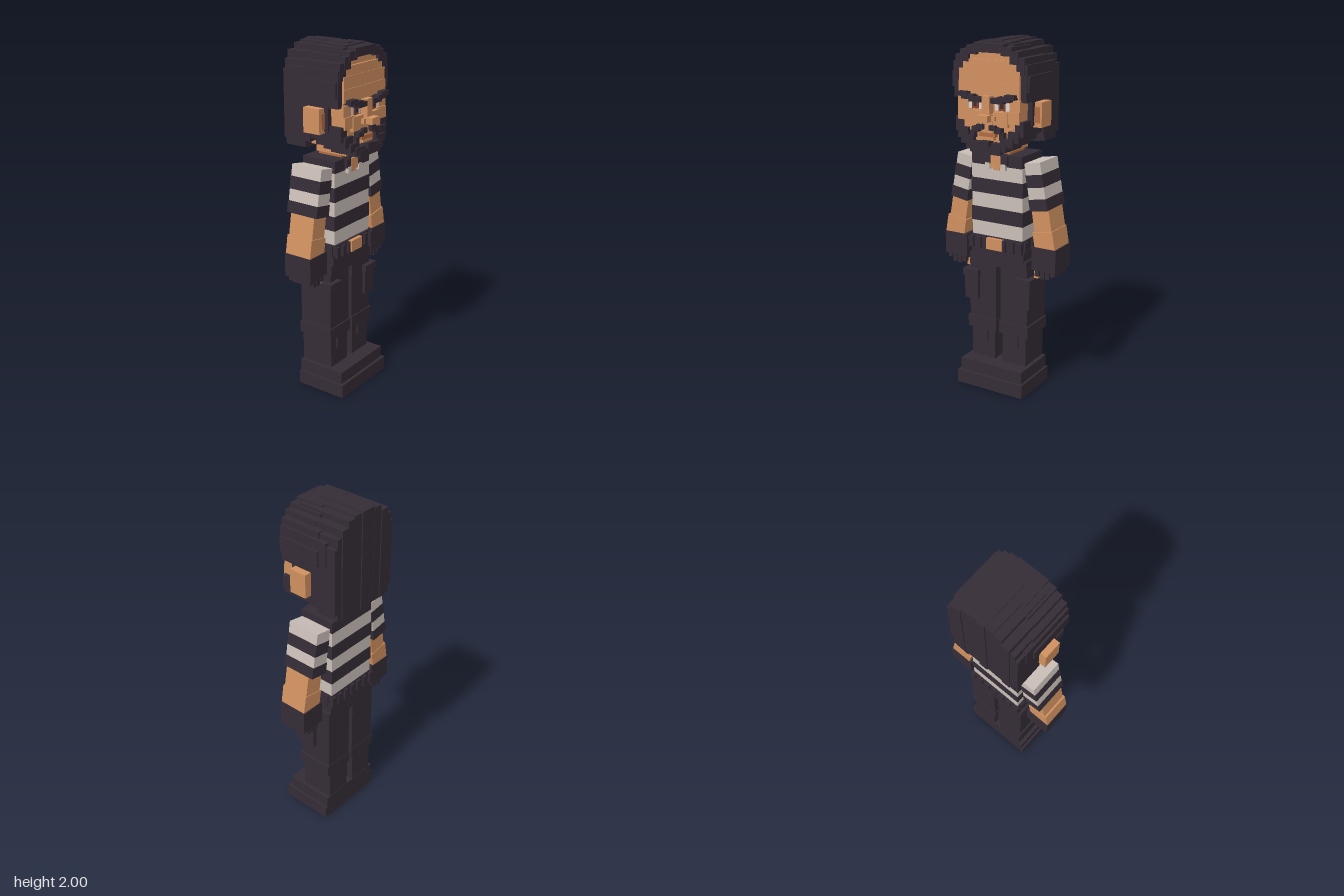
import * as THREE from 'three';

const mat = (name, color) => {
  const m = new THREE.MeshStandardMaterial({ color });
  m.name = name;
  return m;
};

export function createModel() {
  const dark = mat('charcoal', 0x352c36);
  const skin = mat('skin', 0xd0905f);
  const shade = mat('shadedSkin', 0xb06a42);
  const light = mat('stripeGrey', 0xcbbfb8);
  const white = mat('eyeWhite', 0xdcd6d6);
  const iris = mat('iris', 0x8c4028);

  const model = new THREE.Group();
  model.name = 'figure';
  let target = model;
  const group = (name) => {
    target = new THREE.Group();
    target.name = name;
    model.add(target);
    return target;
  };

  // Box from its bounds
  const box = (name, m, x0, x1, y0, y1, z0, z1) => {
    const mesh = new THREE.Mesh(new THREE.BoxGeometry(x1 - x0, y1 - y0, z1 - z0), m);
    mesh.position.set((x0 + x1) / 2, (y0 + y1) / 2, (z0 + z1) / 2);
    mesh.name = name;
    target.add(mesh);
    return mesh;
  };
  // Same box on the left (+x) and the right (-x)
  const pair = (name, m, x0, x1, ...yz) => {
    box(name + 'Left', m, x0, x1, ...yz);
    box(name + 'Right', m, -x1, -x0, ...yz);
  };

  // Shoes, legs and cargo pockets
  group('legs');
  pair('sole', dark, 0, 0.217, 0, 0.08, -0.145, 0.165);
  pair('shoe', dark, 0, 0.203, 0.08, 0.15, -0.145, 0.147);
  pair('shin', dark, 0.025, 0.18, 0.15, 0.33, -0.143, 0.058);
  pair('kneePatch', dark, 0.07, 0.135, 0.26, 0.34, 0.04, 0.07);
  pair('kneeCuff', dark, 0.01, 0.2, 0.33, 0.4, -0.148, 0.07);
  pair('thigh', dark, 0.015, 0.19, 0.4, 0.75, -0.145, 0.062);
  pair('pocket', dark, 0.125, 0.215, 0.51, 0.66, -0.05, 0.08);
  pair('pocketFlap', dark, 0.12, 0.222, 0.65, 0.69, -0.055, 0.09);
  pair('hip', dark, 0, 0.188, 0.73, 0.79, -0.145, 0.068);
  box('waist', dark, -0.172, 0.172, 0.78, 0.85, -0.146, 0.07);

  // Belt with loops and buckle
  group('belt');
  box('beltBand', dark, -0.168, 0.168, 0.845, 0.908, -0.148, 0.085);
  for (let i = 0; i < 7; i++) {
    const x = -0.159 + i * 0.053;
    if (Math.abs(x) > 0.04) box('frontLoop', dark, x - 0.014, x + 0.014, 0.835, 0.9, 0.08, 0.1);
    box('backLoop', dark, x - 0.014, x + 0.014, 0.835, 0.9, -0.16, -0.14);
  }
  for (const z of [-0.11, -0.03, 0.05]) pair('sideLoop', dark, 0.16, 0.178, 0.835, 0.9, z - 0.014, z + 0.014);
  box('buckle', skin, -0.05, 0.05, 0.84, 0.905, 0.08, 0.108);

  // Striped shirt, collar and neck
  group('torso');
  const stripes = [0.905, 0.99, 1.072, 1.155, 1.237, 1.318];
  for (let i = 0; i < 5; i++) {
    const e = i % 2 ? 0.003 : 0;
    box('shirtStripe', i % 2 ? dark : light, -0.163 - e, 0.163 + e, stripes[i], stripes[i + 1], -0.143 - e, 0.072 + e);
  }
  box('collar', dark, -0.16, 0.16, 1.318, 1.385, -0.143, 0.075);
  box('chest', skin, -0.038, 0.038, 1.31, 1.375, 0.06, 0.085);
  box('chestNotch', skin, -0.02, 0.02, 1.295, 1.32, 0.06, 0.08);
  pair('collarFlap', dark, 0.035, 0.075, 1.33, 1.38, 0.06, 0.09);
  pair('collarTab', light, 0.036, 0.064, 1.3, 1.335, 0.06, 0.093);
  box('neck', shade, -0.072, 0.072, 1.37, 1.46, -0.1, 0.05);
  box('throat', skin, -0.095, 0.095, 1.405, 1.46, -0.1, 0.1);

  // Slanted arms with upright gloved hands
  for (const s of [1, -1]) {
    const arm = group(s > 0 ? 'armLeft' : 'armRight');
    arm.position.set(0.215 * s, 1.357, 0);
    arm.rotation.z = 0.168 * s;
    box('sleeveTop', light, -0.049, 0.049, -0.065, 0, -0.135, 0.062);
    box('sleeveStripe', dark, -0.051, 0.051, -0.135, -0.065, -0.137, 0.064);
    box('sleeveLower', light, -0.051, 0.051, -0.2, -0.135, -0.135, 0.062);
    box('sleeveCuff', dark, -0.055, 0.055, -0.265, -0.2, -0.137, 0.064);
    box('forearm', skin, -0.053, 0.053, -0.39, -0.26, -0.11, 0.048);
    box('wrist', skin, -0.064, 0.06, -0.49, -0.385, -0.113, 0.054);
    group(s > 0 ? 'handLeft' : 'handRight');
    const hand = (name, m, a, b, ...yz) => box(name, m, Math.min(a * s, b * s), Math.max(a * s, b * s), ...yz);
    hand('glove', dark, 0.215, 0.363, 0.752, 0.885, -0.118, 0.057);
    for (let i = 0; i < 4; i++) {
      const x = 0.229 + i * 0.032, drop = [0.712, 0.7, 0.702, 0.725][i];
      hand('finger', dark, x, x + 0.027, drop, 0.76, -0.1, 0.045);
    }
    hand('thumbTip', skin, 0.21, 0.236, 0.69, 0.73, -0.06, 0.022);
  }

  // Head core and face rows
  group('face');
  box('skull', skin, -0.185, 0.185, 1.53, 1.88, -0.1, 0.145);
  box('jaw', skin, -0.15, 0.15, 1.46, 1.55, -0.1, 0.147);
  box('foreheadTop', skin, -0.13, 0.13, 1.88, 1.94, 0, 0.135);
  box('foreheadUpper', skin, -0.165, 0.165, 1.83, 1.9, 0, 0.148);
  box('foreheadMiddle', skin, -0.188, 0.188, 1.785, 1.85, 0, 0.151);
  box('foreheadLower', skin, -0.19, 0.19, 1.715, 1.785, 0, 0.155);
  pair('cheek', skin, 0.1, 0.192, 1.575, 1.64, 0.07, 0.162);
  pair('innerCheek', skin, 0.035, 0.125, 1.555, 1.632, 0.1, 0.168);
  pair('temple', skin, 0.13, 0.194, 1.64, 1.7, 0.07, 0.155);
  box('noseBridge', skin, -0.024, 0.024, 1.61, 1.715, 0.13, 0.186);
  box('noseTip', skin, -0.035, 0.035, 1.583, 1.618, 0.14, 0.225);
  pair('nostril', skin, 0.03, 0.055, 1.585, 1.612, 0.14, 0.185);
  box('upperLip', skin, -0.03, 0.03, 1.515, 1.585, 0.14, 0.165);
  box('mouth', shade, -0.05, 0.05, 1.497, 1.518, 0.14, 0.172);
  box('lowerLip', skin, -0.04, 0.04, 1.478, 1.497, 0.14, 0.17);

  // Eyes and slanted brows
  pair('eyeWhite', white, 0.038, 0.128, 1.638, 1.682, 0.146, 0.152);
  pair('iris', iris, 0.062, 0.103, 1.64, 1.682, 0.152, 0.156);
  pair('pupil', dark, 0.074, 0.092, 1.652, 1.674, 0.156, 0.159);
  pair('browInner', dark, 0.03, 0.105, 1.68, 1.707, 0.14, 0.19);
  pair('browMiddle', dark, 0.075, 0.15, 1.692, 1.718, 0.14, 0.191);
  pair('browOuter', dark, 0.115, 0.175, 1.705, 1.73, 0.14, 0.188);

  // Ears
  group('ears');
  pair('ear', skin, 0.2, 0.264, 1.55, 1.685, -0.055, 0.05);
  pair('earHollow', shade, 0.222, 0.25, 1.575, 1.66, 0.05, 0.056);

  // Moustache and beard in steps
  group('beard');
  pair('moustacheInner', dark, 0.02, 0.06, 1.535, 1.562, 0.14, 0.186);
  pair('moustacheOuter', dark, 0.05, 0.092, 1.52, 1.548, 0.14, 0.182);
  pair('moustacheEnd', dark, 0.078, 0.105, 1.485, 1.525, 0.14, 0.175);
  pair('sideburn', dark, 0.185, 0.222, 1.56, 1.76, -0.05, 0.075);
  pair('sideburnFront', dark, 0.19, 0.225, 1.69, 1.77, 0, 0.142);
  pair('beardSide', dark, 0.16, 0.213, 1.51, 1.59, -0.05, 0.152);
  pair('beardCheek', dark, 0.125, 0.19, 1.475, 1.535, -0.03, 0.165);
  pair('beardJaw', dark, 0.085, 0.162, 1.45, 1.495, 0, 0.178);
  pair('beardChin', dark, 0.035, 0.125, 1.425, 1.468, 0.02, 0.188);
  box('beardBottom', dark, -0.095, 0.095, 1.412, 1.45, 0.05, 0.192);
  box('goatee', dark, -0.026, 0.026, 1.435, 1.478, 0.13, 0.196);

  // Hair: vertical strips [inner x, outer x, top, bottom, back, front of the crown]
  group('hair');
  const strips = [
    [0, 0.025, 2.0, 1.44, -0.225, 0.06],
    [0.025, 0.075, 1.995, 1.44, -0.218, 0.05],
    [0.075, 0.125, 1.985, 1.442, -0.219, 0.1],
    [0.125, 0.175, 1.955, 1.445, -0.225, 0.11],
    [0.175, 0.205, 1.915, 1.45, -0.218, 0.12],
    [0.205, 0.222, 1.865, 1.49, -0.217, 0.12],
  ];
  for (const [x0, x1, top, bottom, back, front] of strips) {
    pair('backStrip', dark, x0, x1, bottom, top, back, -0.09);
    pair('crownStrip', dark, x0, x1, 1.74, top - 0.002, -0.1, Math.min(front, 0.13));
  }
  pair('behindEar', dark, 0.17, 0.222, 1.49, 1.76, -0.2, -0.045);
  pair('sideUpper', dark, 0.192, 0.228, 1.75, 1.885, -0.16, 0.143);
  pair('sidePanel', dark, 0.21, 0.24, 1.745, 1.83, -0.115, 0.138);
  pair('sideTop', dark, 0.165, 0.213, 1.83, 1.92, -0.1, 0.147);
  pair('cornerTop', dark, 0.128, 0.178, 1.885, 1.95, -0.05, 0.152);
  pair('fringeSide', dark, 0.075, 0.14, 1.925, 1.972, -0.05, 0.155);
  box('fringe', dark, -0.09, 0.09, 1.938, 1.985, 0, 0.157);
  box('topTuft', dark, -0.095, 0.095, 1.95, 1.992, -0.02, 0.09);

  return model;
}
